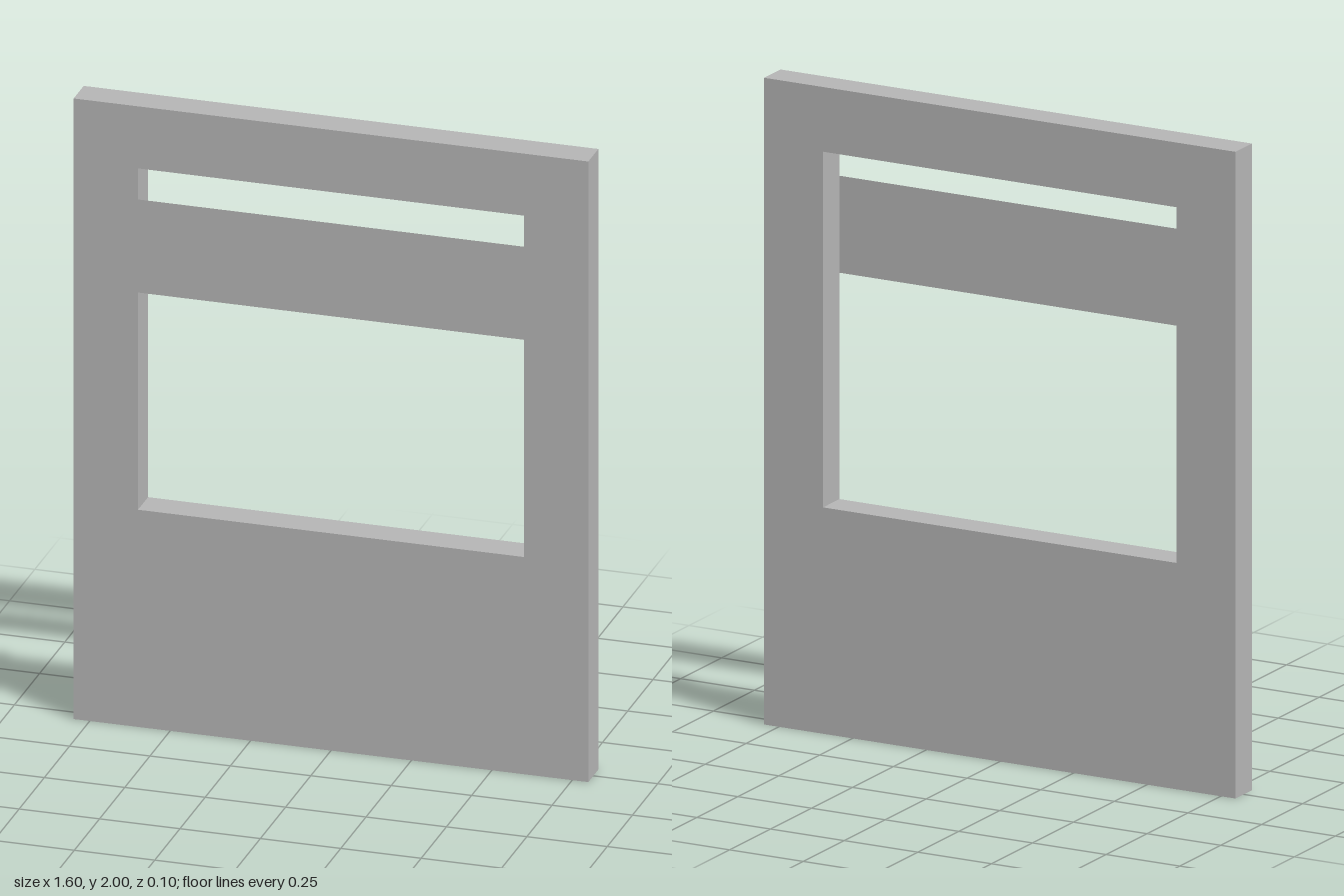
import * as THREE from 'three';

// Closed rectangle outline from its left, right, bottom and top edges
function rectangle(Type, left, right, bottom, top) {
  const path = new Type();
  path.moveTo(left, bottom);
  path.lineTo(right, bottom);
  path.lineTo(right, top);
  path.lineTo(left, top);
  path.closePath();
  return path;
}

export function createModel() {
  const depth = 0.1;
  const grey = new THREE.MeshStandardMaterial({ color: 0xb4b4b4, side: THREE.DoubleSide });
  grey.name = 'grey';

  const model = new THREE.Group();
  model.name = 'wallPanel';

  // Slab with one tall opening cut right through
  const outline = rectangle(THREE.Shape, -0.8, 0.8, 0, 2);
  outline.holes.push(rectangle(THREE.Path, -0.6, 0.6, 0.7, 1.8));
  const slab = new THREE.Mesh(
    new THREE.ExtrudeGeometry(outline, { depth, bevelEnabled: false }).translate(0, 0, -depth / 2),
    grey
  );
  slab.name = 'frame';
  model.add(slab);

  // Thin crosspiece flush with the front, dividing the opening
  const crosspiece = new THREE.Mesh(new THREE.PlaneGeometry(1.2, 0.3), grey);
  crosspiece.name = 'crosspiece';
  crosspiece.position.set(0, 1.55, depth / 2);
  model.add(crosspiece);

  return model;
}
